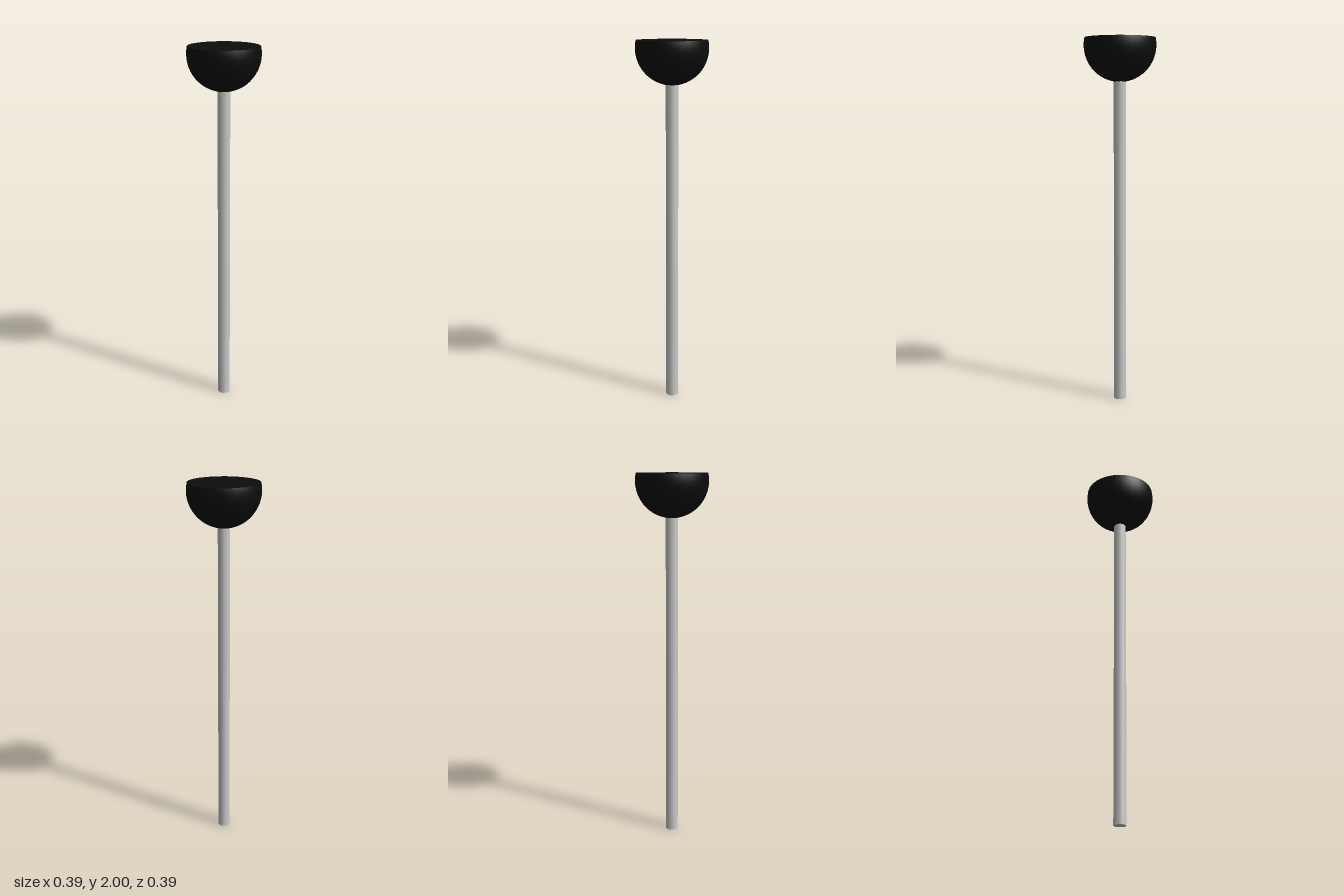
import * as THREE from 'three';

export function createModel() {
  const group = new THREE.Group();
  const radius = 0.195, centreY = 1.96, topY = 2;
  const black = new THREE.MeshStandardMaterial({ color: 0x0d0d0d });
  const grey = new THREE.MeshStandardMaterial({ color: 0xcccccc });

  const add = (name, geometry, material, y) => {
    const mesh = new THREE.Mesh(geometry, material);
    mesh.name = name;
    mesh.position.y = y;
    group.add(mesh);
    return mesh;
  };

  // Straight ten-sided rod, ending just inside the head
  const rodHeight = 1.78;
  const rod = add('rod', new THREE.CylinderGeometry(0.034, 0.034, rodHeight, 10), grey, rodHeight / 2);
  rod.rotation.y = Math.PI / 2;

  // Ball head cut off a little above its equator
  const cut = Math.acos((topY - centreY) / radius);
  add('head', new THREE.SphereGeometry(radius, 32, 16, 0, Math.PI * 2, cut, Math.PI - cut), black, centreY);

  // Flat face closing the cut
  const face = new THREE.CircleGeometry(radius * Math.sin(cut), 32).rotateX(-Math.PI / 2);
  add('headTop', face, black, topY);

  return group;
}
